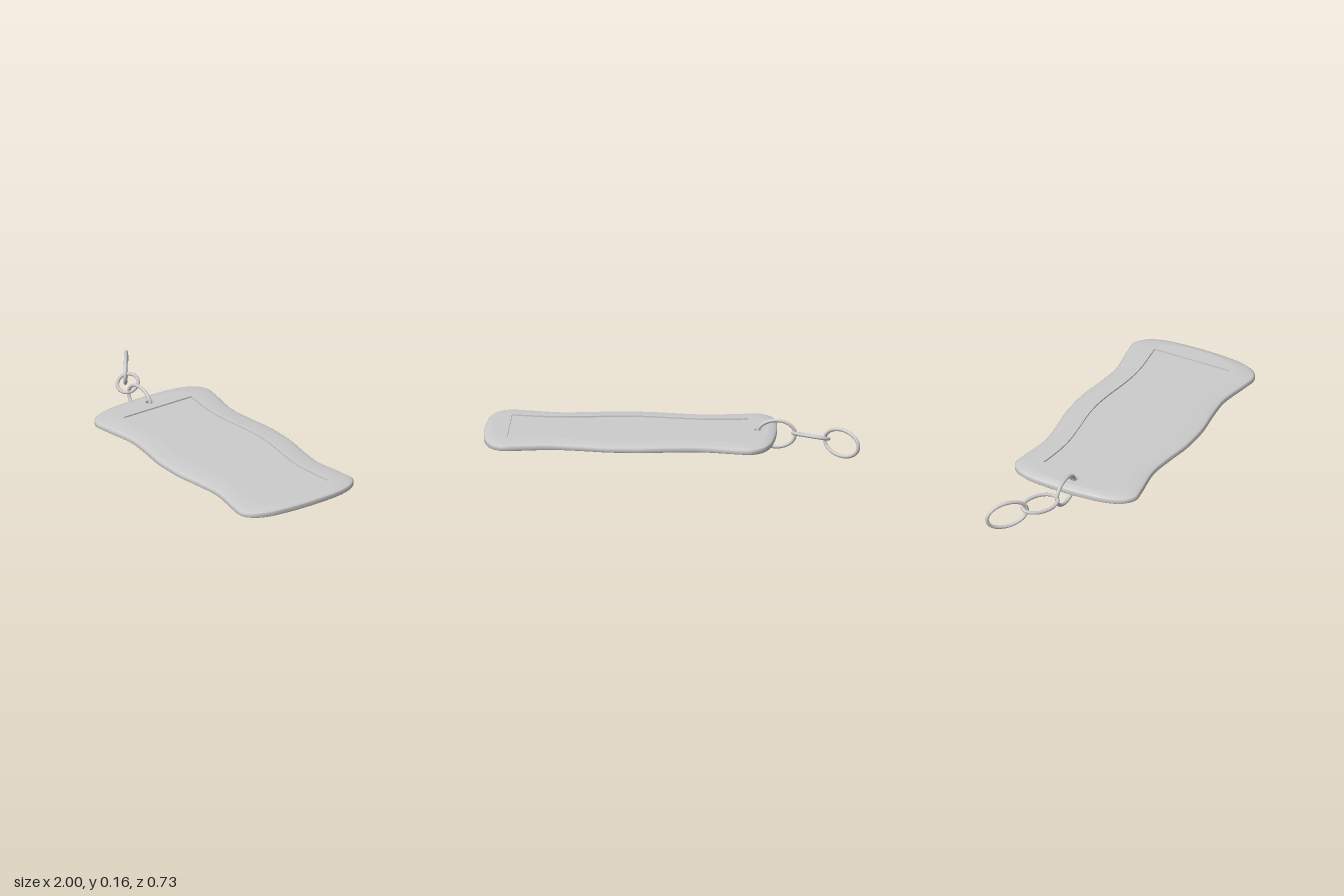
import * as THREE from 'three';

const CX = 0.2275, CY = 0.076;        // tag centre
const HALF_X = 0.7725, HALF_Z = 0.362; // tag half sizes
const H = 0.026;                       // half thickness at the middle
const material = new THREE.MeshStandardMaterial({ color: 0xcccccc, side: THREE.DoubleSide });

// Closed wavy outline, mirrored from one quarter (x, z)
function outlinePoints() {
  const q = [[HALF_X, 0], [0.768, 0.13], [0.755, 0.235], [0.722, 0.318], [0.665, 0.361],
    [0.58, 0.354], [0.395, 0.325], [0.25, 0.337], [0.1, 0.359], [0, HALF_Z]];
  const half = [...q, ...q.slice(0, -1).reverse().map(([x, z]) => [-x, z])];
  const full = [...half, ...half.slice(1, -1).reverse().map(([x, z]) => [x, -z])];
  const curve = new THREE.CatmullRomCurve3(full.map(([x, z]) => new THREE.Vector3(x, 0, z)), true);
  return curve.getPoints(180).slice(0, -1).map(p => new THREE.Vector2(p.x, p.z));
}

const inset = (loop, dx, dz) =>
  loop.map(p => new THREE.Vector2(p.x * (1 - dx / HALF_X), p.y * (1 - dz / HALF_Z)));

// Skin through closed loops, listed from top to bottom as [loop, y]
function loft(rows) {
  const n = rows[0][0].length, pos = [], idx = [];
  for (const [loop, y] of rows) for (const p of loop) pos.push(p.x, y, p.y);
  for (let r = 0; r < rows.length - 1; r++) {
    for (let i = 0; i < n; i++) {
      const a = r * n + i, b = r * n + (i + 1) % n;
      idx.push(a, b, a + n, b, b + n, a + n);
    }
  }
  const g = new THREE.BufferGeometry();
  g.setAttribute('position', new THREE.Float32BufferAttribute(pos, 3));
  g.setIndex(idx);
  g.computeVertexNormals();
  return g;
}

// Flat horizontal face with optional openings
function face(loop, y, holes = [], down = false) {
  const shape = new THREE.Shape(loop);
  shape.holes = holes.map(h => new THREE.Path(h));
  return new THREE.ShapeGeometry(shape).rotateX(down ? Math.PI / 2 : -Math.PI / 2).translate(0, y, 0);
}

// Border of the sunken label panel, following the wavy edges
function panelPoints() {
  const side = [];
  for (let i = 0; i <= 48; i++) {
    const x = -0.61 + 1.25 * i / 48;
    side.push(new THREE.Vector2(x, 0.218 + 0.018 * Math.cos(2 * Math.PI * x / 0.79)));
  }
  return [...side, ...side.slice().reverse().map(p => new THREE.Vector2(p.x, -p.y))];
}

// Oval chain link lying in its local xy plane
function link(name, a, b, position, rotation) {
  const pts = [];
  for (let i = 0; i < 32; i++) {
    const t = i / 32 * Math.PI * 2;
    pts.push(new THREE.Vector3(a * Math.cos(t), b * Math.sin(t), 0));
  }
  const g = new THREE.TubeGeometry(new THREE.CatmullRomCurve3(pts, true), 72, 0.0095, 12, true);
  const m = new THREE.Mesh(g, material);
  m.name = name;
  m.position.set(...position);
  m.rotation.set(...rotation, 'YXZ');
  return m;
}

export function createModel() {
  const model = new THREE.Group();
  model.name = 'keyTag';
  const tag = new THREE.Group();
  tag.name = 'tag';
  tag.position.set(CX, CY, 0);
  model.add(tag);
  const add = (name, geometry) => {
    const m = new THREE.Mesh(geometry, material);
    m.name = name;
    tag.add(m);
  };

  const outline = outlinePoints();
  const panel = panelPoints();
  const hole = new THREE.Path().absarc(-0.6775, 0, 0.022, 0, Math.PI * 2).getPoints(12).slice(0, -1);

  // Rounded rim: [x inset, z inset, height]
  const profile = [[0.04, 0.11, H], [0.027, 0.07, 0.0235], [0.014, 0.03, 0.0195],
    [0.004, 0.008, 0.0145], [0, 0, 0.009]];
  const top = profile.map(([dx, dz, h]) => [inset(outline, dx, dz), h]);
  const bottom = top.slice().reverse().map(([loop, h]) => [loop, -h]);
  add('rim', loft([...top, ...bottom]));

  // Top and bottom faces
  const cap = top[0][0];
  add('topFace', face(cap, H, [panel, hole]));
  add('bottomFace', face(cap, -H, [hole], true));

  // Sunken panel and ring hole
  const floorY = H - 0.008;
  add('panelFloor', face(panel, floorY));
  // Separate corners keep the wall edges sharp
  const wall = loft([[panel, H], [panel, floorY]]).toNonIndexed();
  wall.computeVertexNormals();
  add('panelWall', wall);
  add('holeWall', loft([[hole.slice().reverse(), H], [hole.slice().reverse(), -H]]));

  // Chain of three links
  model.add(
    link('tagLink', 0.1, 0.072, [-0.544, 0.0815, 0], [0, 0, 0]),
    link('middleLink', 0.106, 0.056, [-0.73, 0.087, -0.055], [0.28 - Math.PI / 2, -0.5, 0]),
    link('endLink', 0.117, 0.072, [-0.899, 0.0815, -0.1625], [0, -0.645, 0])
  );
  return model;
}
